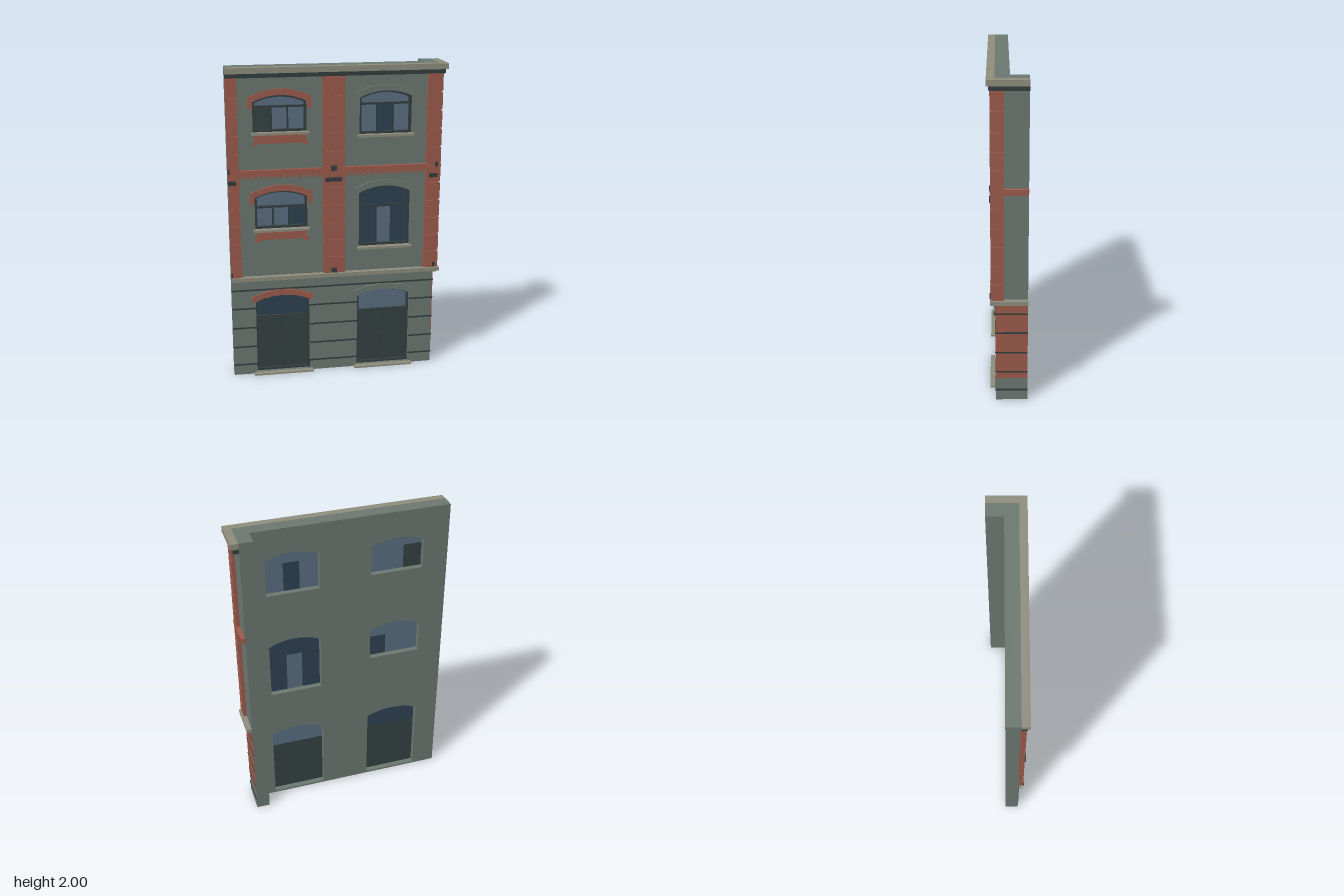
import * as THREE from 'three';

const mat = (name, color) => Object.assign(new THREE.MeshStandardMaterial({ color }), { name });

export function createModel() {
  const M = {
    wall: mat('greyGreenWall', 0x6c7870),
    stone: mat('tanStone', 0x8f8e7e),
    brick: mat('redBrick', 0x9e5b4c),
    dark: mat('darkTrim', 0x333e3f),
    door: mat('doorPaint', 0x364242),
    navy: mat('darkGlass', 0x2e4253),
    light: mat('lightGlass', 0x5a6f82),
  };
  const model = new THREE.Group();
  model.name = 'facade';

  // Main levels and depths
  const L = -0.68, R = 0.63, BACK = -0.015, FRONT = 0.07, END = -0.122;

  const add = (parent, name, geo, m) => {
    const mesh = new THREE.Mesh(geo, m);
    mesh.name = name;
    parent.add(mesh);
    return mesh;
  };
  const box = (parent, name, m, x0, x1, y0, y1, z0, z1) => {
    const mesh = add(parent, name, new THREE.BoxGeometry(x1 - x0, y1 - y0, z1 - z0), m);
    mesh.position.set((x0 + x1) / 2, (y0 + y1) / 2, (z0 + z1) / 2);
    return mesh;
  };
  const extrude = (parent, name, m, shape, z0, z1) => {
    const geo = new THREE.ExtrudeGeometry(shape, { depth: z1 - z0, bevelEnabled: false });
    geo.translate(0, 0, z0);
    return add(parent, name, geo, m);
  };

  // Outline with a segmental arch on top, inset by t
  const arc = (o) => {
    const r = (o.hw * o.hw + o.rise * o.rise) / (2 * o.rise);
    return { r, cy: o.spring + o.rise - r };
  };
  const archPoints = (o, t, y0) => {
    const { r, cy } = arc(o), rad = r - t, a = Math.asin((o.hw - t) / rad);
    const pts = [new THREE.Vector2(o.x - o.hw + t, y0), new THREE.Vector2(o.x + o.hw - t, y0)];
    for (let i = 0; i <= 14; i++) {
      const b = a - (2 * a * i) / 14;
      pts.push(new THREE.Vector2(o.x + rad * Math.sin(b), cy + rad * Math.cos(b)));
    }
    return pts;
  };

  const W = { hw: 0.165, rise: 0.04 }, D = { hw: 0.173, rise: 0.038, door: true };
  const openings = [
    { ...W, name: 'topLeftWindow', x: -0.355, y0: 1.6, spring: 1.79, bar: 1.755, red: true, top: 'light', panes: ['door', 'light', 'light'] },
    { ...W, name: 'topRightWindow', x: 0.302, y0: 1.567, spring: 1.8, bar: 1.755, top: 'light', panes: ['light', 'navy', 'light'] },
    { ...W, name: 'middleLeftWindow', x: -0.355, y0: 0.985, spring: 1.195, bar: 1.125, red: true, top: 'light', panes: ['light', 'light', 'navy'] },
    { ...W, name: 'middleRightWindow', x: 0.302, y0: 0.837, spring: 1.2, bar: 1.1, top: 'navy', panes: ['navy', 'light', 'navy'] },
    { ...D, name: 'leftDoor', x: -0.356, y0: 0.012, spring: 0.507, bar: 0.388, red: true, top: 'navy', panes: ['door', 'door'] },
    { ...D, name: 'rightDoor', x: 0.302, y0: 0.012, spring: 0.507, bar: 0.388, top: 'light', panes: ['door', 'door'] },
  ];

  // Main wall with openings, and the short return wall
  const wall = new THREE.Shape([[L, 0], [R, 0], [R, 2], [L, 2]].map((p) => new THREE.Vector2(...p)));
  openings.forEach((o) => wall.holes.push(new THREE.Path(archPoints(o, 0, o.y0))));
  extrude(model, 'frontWall', M.wall, wall, BACK, FRONT);
  box(model, 'returnWall', M.wall, 0.545, R, 0, 2, END, BACK);

  // Curved row of wedge stones over an opening
  const voussoirs = (g, o, m) => {
    const { r, cy } = arc(o), a = Math.asin((o.hw + 0.012) / r), n = 11;
    for (let i = 0; i < n; i++) {
      const a0 = -a + (2 * a * i) / n + 0.003, a1 = -a + (2 * a * (i + 1)) / n - 0.003;
      const h = 0.036 + (i % 2 ? 0 : 0.003);
      const P = (rad, b) => new THREE.Vector2(o.x + rad * Math.sin(b), cy + rad * Math.cos(b));
      const s = new THREE.Shape([P(r, a1), P(r + h, a1), P(r + h, a0), P(r, a0)]);
      extrude(g, 'archStone', m, s, FRONT - 0.005, 0.081 + (i % 2 ? 0 : 0.003));
    }
  };

  openings.forEach((o) => {
    const g = new THREE.Group();
    g.name = o.name;
    model.add(g);
    const x0 = o.x - o.hw, x1 = o.x + o.hw, t = o.door ? 0.012 : 0.015;

    // Frame, transom and glazing
    const ring = new THREE.Shape(archPoints(o, 0, o.y0));
    ring.holes.push(new THREE.Path(archPoints(o, t, o.y0 + t)));
    extrude(g, 'frame', M.dark, ring, 0.028, 0.052);
    box(g, 'transom', M.dark, x0 + t, x1 - t, o.bar - 0.006, o.bar + 0.006, 0.028, 0.048);
    extrude(g, 'topLight', M[o.top], new THREE.Shape(archPoints(o, 0.0005, o.bar)), 0.02, 0.03);
    const n = o.panes.length, w = (x1 - x0 - 2 * t) / n;
    o.panes.forEach((p, i) => {
      const a = i === 0 ? x0 : x0 + t + w * i, b = i === n - 1 ? x1 : x0 + t + w * (i + 1);
      box(g, o.door ? 'doorLeaf' : 'pane', M[p], a, b, o.y0, o.bar, 0.02, 0.03);
      if (i) box(g, 'mullion', M.dark, a - 0.005, a + 0.005, o.y0 + t, o.bar, 0.028, 0.045);
    });

    if (o.door) {
      // Raised leaf panels, handles and doorstep
      [-1, 1].forEach((s) => {
        const c = o.x + s * w * 0.52;
        box(g, 'doorPanel', M.door, c - w * 0.44, c + w * 0.44, 0.03, o.bar - 0.012, 0.03, 0.037);
        const h = o.x + s * 0.016;
        box(g, 'handle', M.dark, h - 0.004, h + 0.004, 0.17, 0.215, 0.037, 0.052);
      });
      box(g, 'doorstep', M.stone, x0 - 0.02, x1 + 0.02, 0, 0.011, FRONT - 0.04, 0.105);
    } else {
      box(g, 'sill', M.stone, x0 - 0.012, x1 + 0.012, o.y0 - 0.013, o.y0 + 0.002, 0.03, 0.09);
    }

    voussoirs(g, o, o.red ? M.brick : M.wall);
    if (o.red && !o.door) {
      // Brick ears beside the arch and stepped apron below the sill
      [-1, 1].forEach((s) => {
        const e = o.x + s * (o.hw + 0.016), f = o.x + s * (o.hw - 0.012);
        box(g, 'archEar', M.brick, e - 0.013, e + 0.013, o.spring - 0.042, o.spring + 0.01, FRONT - 0.005, 0.083);
        box(g, 'apronFoot', M.brick, f - 0.013, f + 0.013, o.y0 - 0.077, o.y0 - 0.05, FRONT - 0.005, 0.084);
      });
      box(g, 'apron', M.brick, x0 + 0.008, x1 - 0.008, o.y0 - 0.065, o.y0 - 0.013, FRONT - 0.005, 0.08);
    }
  });

  // Brick pilasters built as stacked blocks with narrow joints
  const pilaster = (name, x0, x1, corner) => {
    const g = new THREE.Group();
    g.name = name;
    model.add(g);
    const z0 = corner ? 0.02 : FRONT - 0.005, out = corner ? 0.007 : 0;
    box(g, 'pilasterCore', M.brick, x0, x1, 0.68, 1.94, z0, 0.09);
    const n = 11, h = 1.26 / n;
    for (let i = 0; i < n; i++) {
      const y = 0.68 + i * h;
      box(g, 'pilasterBlock', M.brick, x0, x1 + out, y + 0.005, y + h - 0.005, z0, 0.098);
    }
  };
  pilaster('leftEdgePilaster', L, -0.612);
  pilaster('centrePilaster', -0.095, 0.042);
  pilaster('cornerPilaster', 0.56, 0.645, true);

  // Dark iron anchor plates on the pilasters
  const plates = [
    [-0.045, -0.01, -0.08, 0.022], [L, -0.67, L, -0.633], [0.617, 0.632, 0.58, 0.632],
  ];
  plates.forEach(([a, b, c, d]) => {
    box(model, 'anchorPlate', M.dark, a, b, 1.355, 1.387, 0.095, 0.104);
    box(model, 'anchorBar', M.dark, c, d, 1.286, 1.312, 0.095, 0.104);
    box(model, 'anchorPlate', M.dark, a, b, 0.685, 0.717, 0.095, 0.104);
  });

  // Brick string course with dentils, continued along the return
  [[-0.612, -0.095], [0.042, 0.56]].forEach(([a, b]) => {
    box(model, 'stringCourse', M.brick, a, b, 1.333, 1.352, FRONT - 0.005, 0.083);
    box(model, 'stringCourseCap', M.brick, a, b, 1.352, 1.372, FRONT - 0.005, 0.092);
    const n = 13, p = (b - a) / n;
    for (let i = 0; i < n; i++) {
      const x = a + p * (i + 0.5);
      box(model, 'dentil', M.brick, x - 0.011, x + 0.011, 1.316, 1.333, FRONT - 0.005, 0.081);
    }
  });
  box(model, 'sideStringCourse', M.brick, R - 0.005, 0.645, 1.333, 1.352, END, 0.03);
  box(model, 'sideStringCourseCap', M.brick, R - 0.005, 0.655, 1.352, 1.372, END, 0.1);

  // L-shaped mouldings wrapping the front and the return side
  const moulding = (name, m, y0, y1, out) => {
    box(model, name, m, L, R + out, y0, y1, FRONT, FRONT + out);
    box(model, name + 'Side', m, R, R + out, y0, y1, END, FRONT);
  };
  moulding('cornice', M.stone, 1.965, 2, 0.047);
  moulding('corniceShadowBand', M.dark, 1.938, 1.965, 0.033);
  moulding('beltCourse', M.stone, 0.655, 0.68, 0.033);
  moulding('beltCourseBed', M.wall, 0.645, 0.655, 0.016);

  // Painted brick face on the return at ground level
  box(model, 'sideBrickFace', M.brick, R - 0.003, R + 0.002, 0.152, 0.645, END, FRONT);

  // Dark horizontal joints of the ground floor, broken at the doors
  [0.07, 0.195, 0.327, 0.46, 0.585].forEach((y) => {
    const spans = y > 0.55 ? [[L, R]] : [[L, -0.529], [-0.183, 0.129], [0.475, R]];
    spans.forEach(([a, b]) => box(model, 'wallJoint', M.dark, a, b, y - 0.005, y + 0.005, FRONT - 0.003, FRONT + 0.003));
    box(model, 'sideJoint', M.dark, R - 0.003, R + 0.004, y - 0.005, y + 0.005, END, FRONT + 0.003);
  });

  return model;
}
